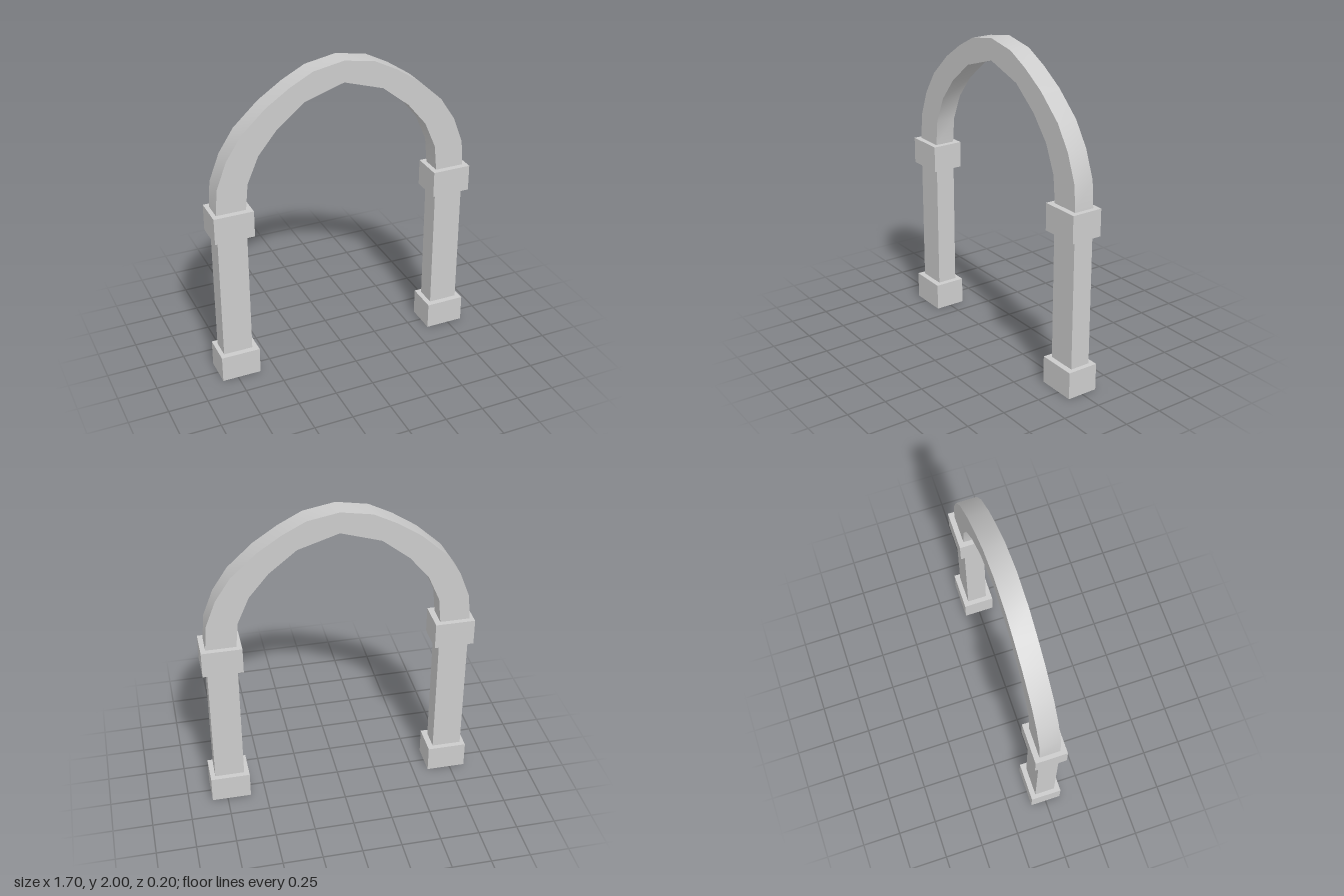
import * as THREE from 'three';
import { toCreasedNormals } from 'three/addons/utils/BufferGeometryUtils.js';

const material = new THREE.MeshStandardMaterial({ color: 0xcccccc });
const DEPTH = 0.13; // thickness of shafts and arch
const SHIFT = -0.002; // small offset of shafts and arch from the blocks

function addBox(parent, name, size, position) {
  const mesh = new THREE.Mesh(new THREE.BoxGeometry(...size), material);
  mesh.name = name;
  mesh.position.set(...position);
  parent.add(mesh);
}

// Half outlines of the arch, from springing to apex
const outer = [[0.82, 1.165], [0.807, 1.33], [0.742, 1.5], [0.647, 1.645],
  [0.49, 1.79], [0.34, 1.89], [0.195, 1.965], [0, 2]];
const inner = [[0.633, 1.165], [0.617, 1.33], [0.544, 1.5], [0.423, 1.647],
  [0.252, 1.785], [0, 1.865]];

// Mirrors a half outline into a full run from right to left
function mirrored(half) {
  const left = half.slice(0, -1).reverse().map(([x, y]) => [-x, y]);
  return [...half, ...left];
}

function createArch() {
  const points = [...mirrored(outer), ...mirrored(inner).reverse()];
  const shape = new THREE.Shape(points.map(([x, y]) => new THREE.Vector2(x, y)));
  const geometry = new THREE.ExtrudeGeometry(shape, { depth: DEPTH, bevelEnabled: false });
  geometry.translate(SHIFT, 0, -DEPTH / 2 + SHIFT);
  // Smooth along the curve, sharp at the edges and the apex
  const mesh = new THREE.Mesh(toCreasedNormals(geometry, 0.45), material);
  mesh.name = 'pointedArch';
  return mesh;
}

export function createModel() {
  const group = new THREE.Group();
  group.name = 'archway';

  // Two pillars: base block, shaft and capital
  for (const [side, name] of [[1, 'leftPillar'], [-1, 'rightPillar']]) {
    const pillar = new THREE.Group();
    pillar.name = name;
    addBox(pillar, 'base', [0.25, 0.173, 0.2], [side * 0.724, 0.0865, 0]);
    addBox(pillar, 'shaft', [0.187, 0.822, DEPTH], [side * 0.7265 + SHIFT, 0.584, SHIFT]);
    addBox(pillar, 'capital', [0.25, 0.17, 0.2], [side * 0.724, 1.08, 0]);
    group.add(pillar);
  }

  group.add(createArch());
  return group;
}
